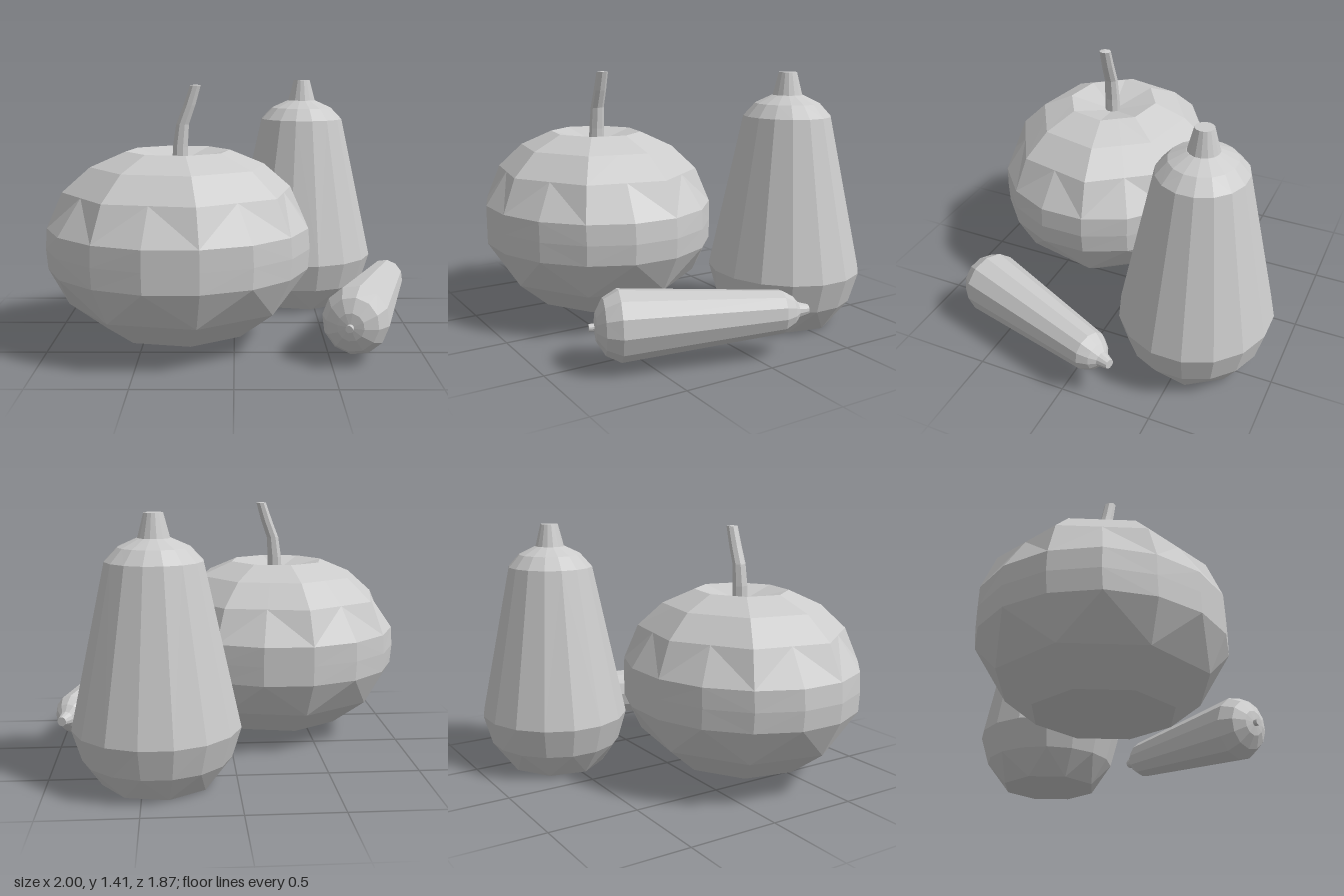
import * as THREE from 'three';

const material = new THREE.MeshStandardMaterial({ color: 0xcccccc, flatShading: true });

// Faceted loft from rings [y, radiusX, radiusZ, coarse, centreX], listed bottom to top.
// A coarse ring keeps every second corner and puts the others midway along its edges.
function loft(name, sides, rings) {
  const corner = (ring, i) => {
    const [y, rx, rz, coarse, cx = 0] = ring;
    const at = (k) => {
      const a = ((k + 0.5) / sides) * Math.PI * 2;
      return new THREE.Vector3(cx + rx * Math.cos(a), y, -rz * Math.sin(a));
    };
    return coarse && i % 2 ? at(i - 1).lerp(at(i + 1), 0.5) : at(i);
  };
  const points = [];
  for (let r = 0; r < rings.length - 1; r++) {
    const low = rings[r], high = rings[r + 1];
    for (let i = 0; i < sides; i++) {
      const a = corner(low, i), b = corner(low, i + 1);
      const c = corner(high, i + 1), d = corner(high, i);
      // alternate the diagonal so both halves of a coarse edge mirror each other
      const tris = i % 2 ? [[a, b, d], [b, c, d]] : [[a, b, c], [a, c, d]];
      if (low[1] === 0) points.push(a, c, d);
      else if (high[1] === 0) points.push(a, b, c);
      else points.push(...tris.flat());
    }
  }
  const geometry = new THREE.BufferGeometry().setFromPoints(points);
  geometry.computeVertexNormals();
  const mesh = new THREE.Mesh(geometry, material);
  mesh.name = name;
  return mesh;
}

export function createModel() {
  const model = new THREE.Group();
  model.name = 'gourds';

  // Squat pumpkin with a sunken crown and a bent stalk
  const pumpkin = new THREE.Group();
  pumpkin.name = 'pumpkin';
  pumpkin.position.set(-0.3, 0, 0.3);
  pumpkin.add(
    loft('pumpkinBody', 16, [
      [0.09, 0, 0],
      [0.09, 0.4, 0.37, true],
      [0.24, 0.6, 0.55, true],
      [0.44, 0.705, 0.642],
      [0.55, 0.714, 0.642],
      [0.66, 0.705, 0.642],
      [0.85, 0.62, 0.565, true],
      [0.98, 0.47, 0.43, true],
      [1.06, 0.28, 0.255, true],
      [0.99, 0, 0],
    ]),
    loft('pumpkinStem', 8, [
      [0.96, 0.045, 0.045, false, 0.01],
      [1.08, 0.042, 0.042, false, 0.012],
      [1.2, 0.036, 0.038, false, 0.025],
      [1.3, 0.034, 0.036, false, 0.062],
      [1.405, 0.03, 0.033, false, 0.095],
      [1.41, 0, 0, false, 0.095],
    ]),
  );

  // Tall tapering squash with a short conical stalk
  const squash = new THREE.Group();
  squash.name = 'tallSquash';
  squash.position.set(0.42, 0, -0.53);
  squash.add(
    loft('squashBody', 16, [
      [0, 0, 0],
      [0, 0.295, 0.275, true],
      [0.145, 0.395, 0.372],
      [0.31, 0.445, 0.418],
      [1.17, 0.253, 0.237],
      [1.24, 0.185, 0.176],
      [1.285, 0.085, 0.085],
      [1.285, 0, 0],
    ]),
    loft('squashStem', 16, [
      [1.275, 0.086, 0.084],
      [1.41, 0.05, 0.05],
      [1.41, 0, 0],
    ]),
  );

  // Long marrow lying on its side, blunt end forward
  const marrow = loft('lyingMarrow', 12, [
    [-0.148, 0, 0],
    [-0.148, 0.019, 0.019],
    [-0.122, 0.019, 0.019],
    [-0.115, 0.07, 0.074],
    [-0.075, 0.136, 0.145],
    [0, 0.174, 0.187],
    [0.83, 0.106, 0.113],
    [0.885, 0.075, 0.078],
    [0.915, 0.042, 0.042],
    [0.97, 0.026, 0.026],
    [0.97, 0, 0],
  ]);
  marrow.position.set(0.62, 0.228, 0.65);
  const axis = new THREE.Vector3(0.285, 0.013, -0.78).normalize();
  marrow.quaternion.setFromUnitVectors(new THREE.Vector3(0, 1, 0), axis);

  model.add(pumpkin, squash, marrow);
  return model;
}
